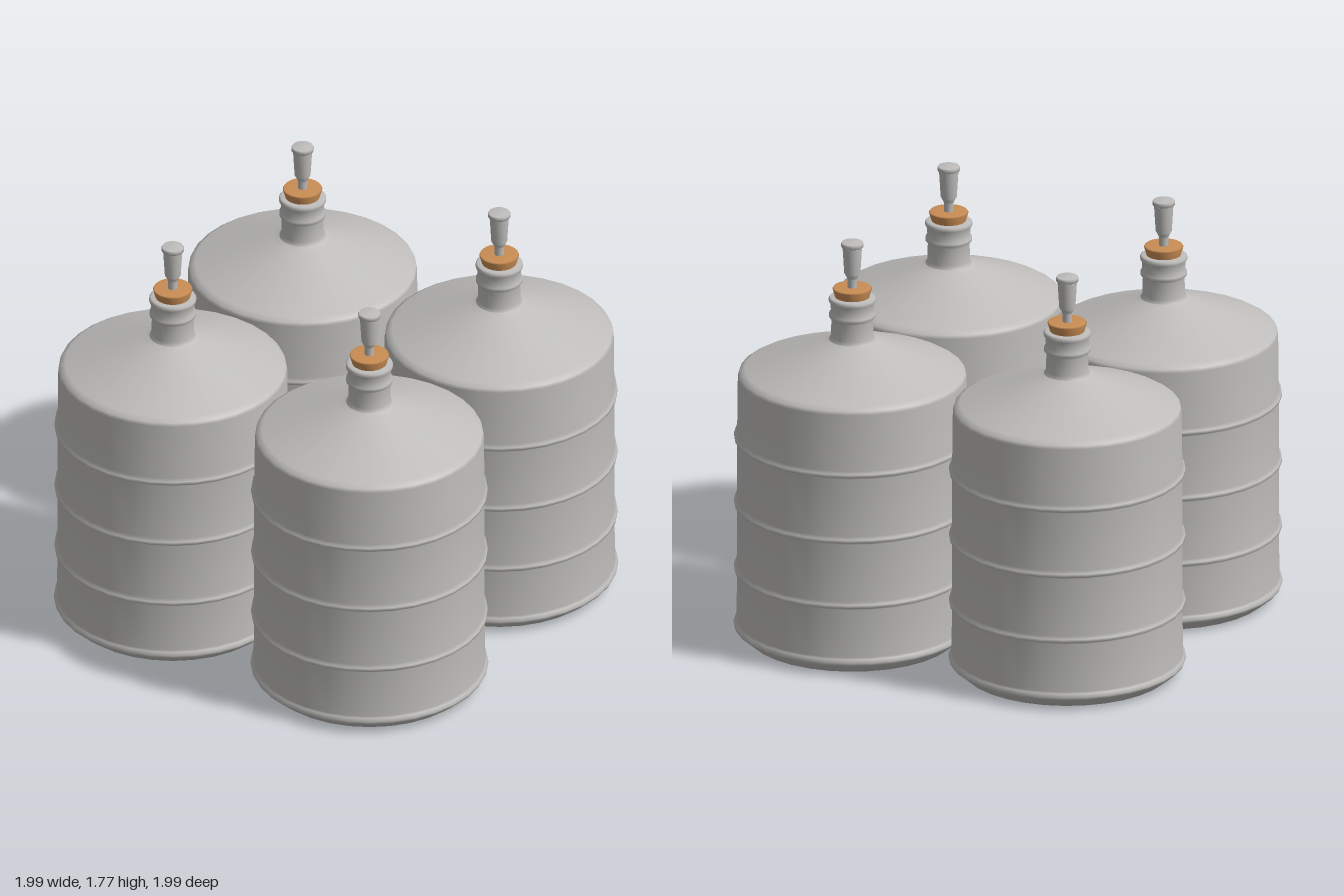
import * as THREE from 'three';

const SEGMENTS = 32;

// Smooth turned part from [radius, height] pairs, listed from bottom to top
function turned(name, profile, material, segments = SEGMENTS) {
  const points = profile.map(([r, y]) => new THREE.Vector2(r, y));
  const mesh = new THREE.Mesh(new THREE.LatheGeometry(points, segments), material);
  mesh.name = name;
  return mesh;
}

export function createModel() {
  const grey = new THREE.MeshStandardMaterial({ color: 0xbebdbb });
  grey.name = 'cloudy grey';
  const cork = new THREE.MeshStandardMaterial({ color: 0xc98d54 });
  cork.name = 'orange cork';

  // Bottle: dished base, chamfered foot, ribbed wall, sloped shoulder
  const wall = [[0, 0.03], [0.13, 0.027], [0.24, 0.008], [0.4, 0.001], [0.44, 0.004], [0.462, 0.022], [0.495, 0.05], [0.5, 0.062], [0.494, 0.077], [0.487, 0.084]];
  for (const y of [0.315, 0.608, 0.902]) {
    wall.push([0.484, y - 0.018], [0.497, y - 0.007], [0.497, y + 0.007], [0.484, y + 0.018]);
  }
  wall.push([0.481, 1.17], [0.476, 1.185], [0.452, 1.2], [0.125, 1.322], [0.098, 1.335]);

  // Neck with a bead and a rolled lip
  const neck = [[0.098, 1.335], [0.089, 1.35], [0.088, 1.425], [0.098, 1.437], [0.098, 1.45],
    [0.09, 1.462], [0.092, 1.495], [0.099, 1.505], [0.099, 1.518], [0.092, 1.525], [0.06, 1.525]];

  // Tapered stopper
  const stopper = [[0.068, 1.5], [0.072, 1.522], [0.083, 1.56], [0.079, 1.566], [0.02, 1.566]];

  // Airlock: thin stem, flared cup and flat cap
  const airlock = [[0.02, 1.55], [0.02, 1.6], [0.024, 1.612], [0.034, 1.63], [0.041, 1.745]];
  const cap = [[0.038, 1.744], [0.047, 1.748], [0.048, 1.762], [0.044, 1.768], [0, 1.77]];

  const model = new THREE.Group();
  model.name = 'fourBottles';
  for (const x of [-0.495, 0.495]) {
    for (const z of [-0.495, 0.495]) {
      const bottle = new THREE.Group();
      bottle.name = `${z > 0 ? 'front' : 'back'}${x > 0 ? 'Left' : 'Right'}Bottle`;
      bottle.add(
        turned('bottleBody', wall, grey),
        turned('bottleNeck', neck, grey),
        turned('stopper', stopper, cork),
        turned('airlock', airlock, grey, 16),
        turned('airlockCap', cap, grey, 16)
      );
      bottle.position.set(x, 0, z);
      model.add(bottle);
    }
  }
  return model;
}
